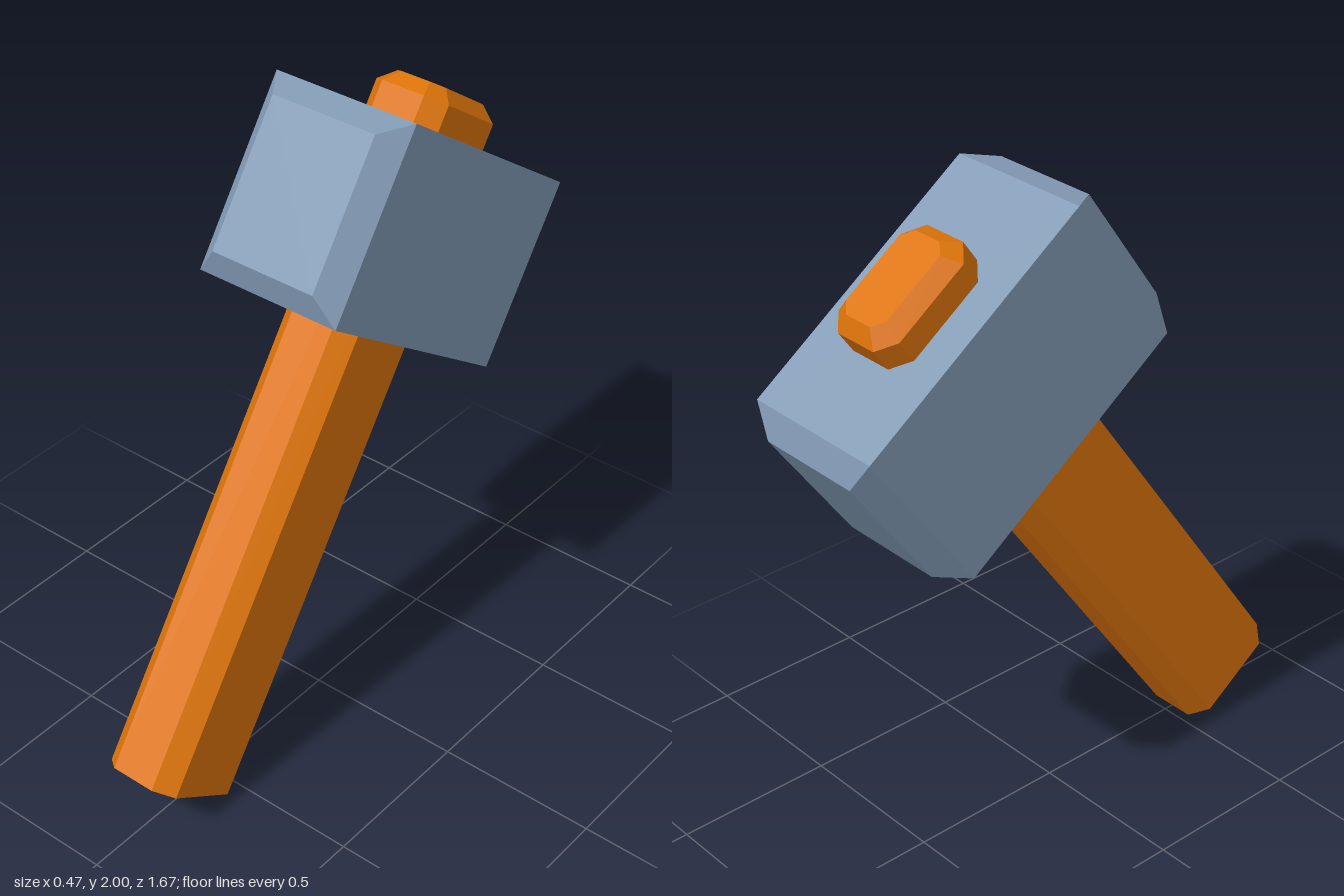
import * as THREE from 'three';

// Rectangle outline with half sizes w, d and corners cut by c (c = 0 keeps four corners)
function outline(w, d, c) {
  if (c === 0) return [[w, d], [w, -d], [-w, -d], [-w, d]];
  return [
    [w - c, d], [w, d - c], [w, c - d], [w - c, -d],
    [c - w, -d], [-w, c - d], [-w, d - c], [c - w, d],
  ];
}

// Flat-faced closed solid through sections [y, halfWidth, halfDepth, cornerCut], listed bottom to top
function loft(sections) {
  const rings = sections.map(([y, w, d, c]) =>
    outline(w, d, c).map(([x, z]) => new THREE.Vector3(x, y, z)));
  const points = [];
  const n = rings[0].length;
  for (let r = 0; r < rings.length - 1; r++) {
    for (let i = 0; i < n; i++) {
      const j = (i + 1) % n;
      const a = rings[r][i], b = rings[r][j], c = rings[r + 1][j], d = rings[r + 1][i];
      points.push(a, b, c, a, c, d);
    }
  }
  // End caps
  const bottom = rings[0], top = rings[rings.length - 1];
  for (let i = 1; i < n - 1; i++) {
    points.push(bottom[0], bottom[i + 1], bottom[i]);
    points.push(top[0], top[i], top[i + 1]);
  }
  const geometry = new THREE.BufferGeometry().setFromPoints(points);
  geometry.computeVertexNormals();
  return geometry;
}

export function createModel() {
  const steel = new THREE.MeshStandardMaterial({ color: 0x839bb5 });
  steel.name = 'steel';
  const wood = new THREE.MeshStandardMaterial({ color: 0xdd740a });
  wood.name = 'wood';

  const model = new THREE.Group();
  model.name = 'hammer';

  // Everything is built upright around the head centre, then leaned back
  const tilted = new THREE.Group();
  tilted.name = 'tiltedHammer';
  tilted.position.set(0, 1.517, -0.298);
  tilted.rotation.x = THREE.MathUtils.degToRad(-35);
  model.add(tilted);

  // Block head with bevelled striking faces
  const head = new THREE.Mesh(loft([
    [-0.499, 0.173, 0.224, 0],
    [-0.431, 0.237, 0.289, 0],
    [0.431, 0.237, 0.289, 0],
    [0.499, 0.173, 0.224, 0],
  ]).rotateX(Math.PI / 2), steel);
  head.name = 'head';
  tilted.add(head);

  // Eight-sided handle running through the head, with a bevelled top end
  const handle = new THREE.Mesh(loft([
    [-1.718, 0.125, 0.185, 0.053],
    [0.369, 0.125, 0.185, 0.053],
    [0.411, 0.083, 0.143, 0.034],
  ]), wood);
  handle.name = 'handle';
  handle.position.z = -0.005;
  tilted.add(handle);

  return model;
}
